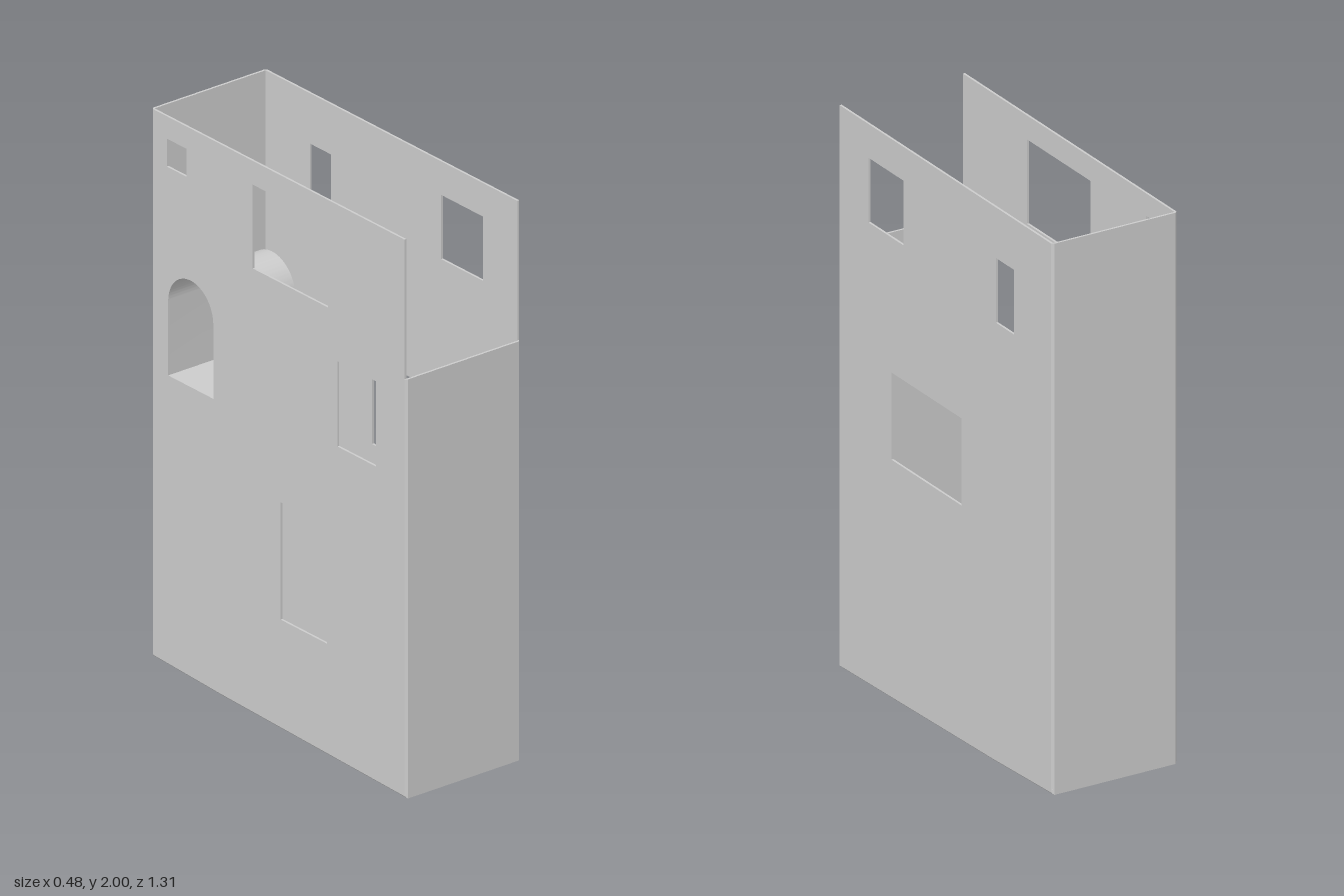
import * as THREE from 'three';
import { toCreasedNormals } from 'three/addons/utils/BufferGeometryUtils.js';

const W = 0.24, D = 0.655, T = 0.008; // half width, half depth, wall thickness
const material = new THREE.MeshStandardMaterial({ color: 0xcccccc, side: THREE.DoubleSide });

const polygon = (points) => new THREE.Shape(points.map(([x, y]) => new THREE.Vector2(x, y)));

function rectangle([z0, z1, y0, y1]) {
  return polygon([[z0, y0], [z1, y0], [z1, y1], [z0, y1]]);
}

// Round-headed outline standing on y = base
function arch(centre, base, spring, radius) {
  const s = new THREE.Shape();
  s.moveTo(centre - radius, base);
  s.lineTo(centre + radius, base);
  s.lineTo(centre + radius, spring);
  s.absarc(centre, spring, radius, 0, Math.PI, false);
  s.closePath();
  return s;
}

// Extrudes a (z, y) outline from x = outer towards -x
function acrossX(shape, outer, depth, bevel = 0) {
  const g = new THREE.ExtrudeGeometry(shape, {
    depth, curveSegments: 32, bevelEnabled: bevel > 0,
    bevelThickness: bevel, bevelSize: bevel, bevelOffset: -bevel, bevelSegments: 1,
  });
  return g.rotateY(-Math.PI / 2).translate(outer, 0, 0);
}

export function createModel() {
  const model = new THREE.Group();
  model.name = 'hollowTower';
  const add = (name, geometry) => {
    const mesh = new THREE.Mesh(geometry, material);
    mesh.name = name;
    model.add(mesh);
    return mesh;
  };

  // Side walls with window openings; the lower edge follows the sloping base
  const sideWall = (name, outer, holes) => {
    const e = D - T;
    const shape = polygon([[e, 0.008], [e, 2], [-e, 2], [-e, 0.048], [-0.3, 0.033]]);
    shape.holes.push(...holes);
    add(name, acrossX(shape, outer, T));
  };
  sideWall('leftWall', W, [
    [0.255, 0.47, 1.65, 1.88],
    [-0.42, -0.31, 1.59, 1.82],
    [-0.10, 0.33, 0.86, 1.17],
  ].map(rectangle));
  const nicheZ = -0.452, nicheBase = 1.07, nicheSpring = 1.34, nicheR = 0.121, nicheT = 0.005;
  const opening = () => arch(nicheZ, nicheBase + nicheT, nicheSpring, nicheR - nicheT);
  sideWall('rightWall', -W + T, [
    ...[
      [-0.575, -0.475, 1.82, 1.92],
      [-0.134, 0.255, 1.615, 1.915],
      [0.302, 0.50, 1.135, 1.44],
      [0.01, 0.25, 0.41, 0.83],
    ].map(rectangle),
    opening(),
  ]);

  // End walls: plan section with chamfered outer corners, raised along y
  const endWall = (name, bottom, top, turn) => {
    const plan = polygon([[-W, -D + T], [-W + T, -D], [W - T, -D], [W, -D + T]]);
    const g = new THREE.ExtrudeGeometry(plan, { depth: top - bottom, bevelEnabled: false });
    g.rotateX(-Math.PI / 2).translate(0, bottom, 0);
    add(name, g).rotation.y = turn;
  };
  endWall('frontWall', 0.008, 1.5, 0);
  endWall('backWall', 0.048, 2, Math.PI);

  // Sloping floor slab with chamfered edges
  const floor = polygon([
    [D, 0], [D, 0.022], [-0.3, 0.047], [-D, 0.062], [-D, 0.04], [-0.3, 0.025],
  ]);
  add('floor', acrossX(floor, W - T, 2 * (W - T), T));

  // Arched niche: vaulted shell running inwards, closed by an end plate
  const shell = arch(nicheZ, nicheBase, nicheSpring, nicheR);
  shell.holes.push(opening());
  const end = 0.10;
  add('nicheShell', toCreasedNormals(acrossX(shell, end - nicheT, end - nicheT + W - T), 0.6));
  add('nicheEnd', toCreasedNormals(
    acrossX(arch(nicheZ, nicheBase, nicheSpring, nicheR), end, nicheT), 0.6));

  return model;
}
